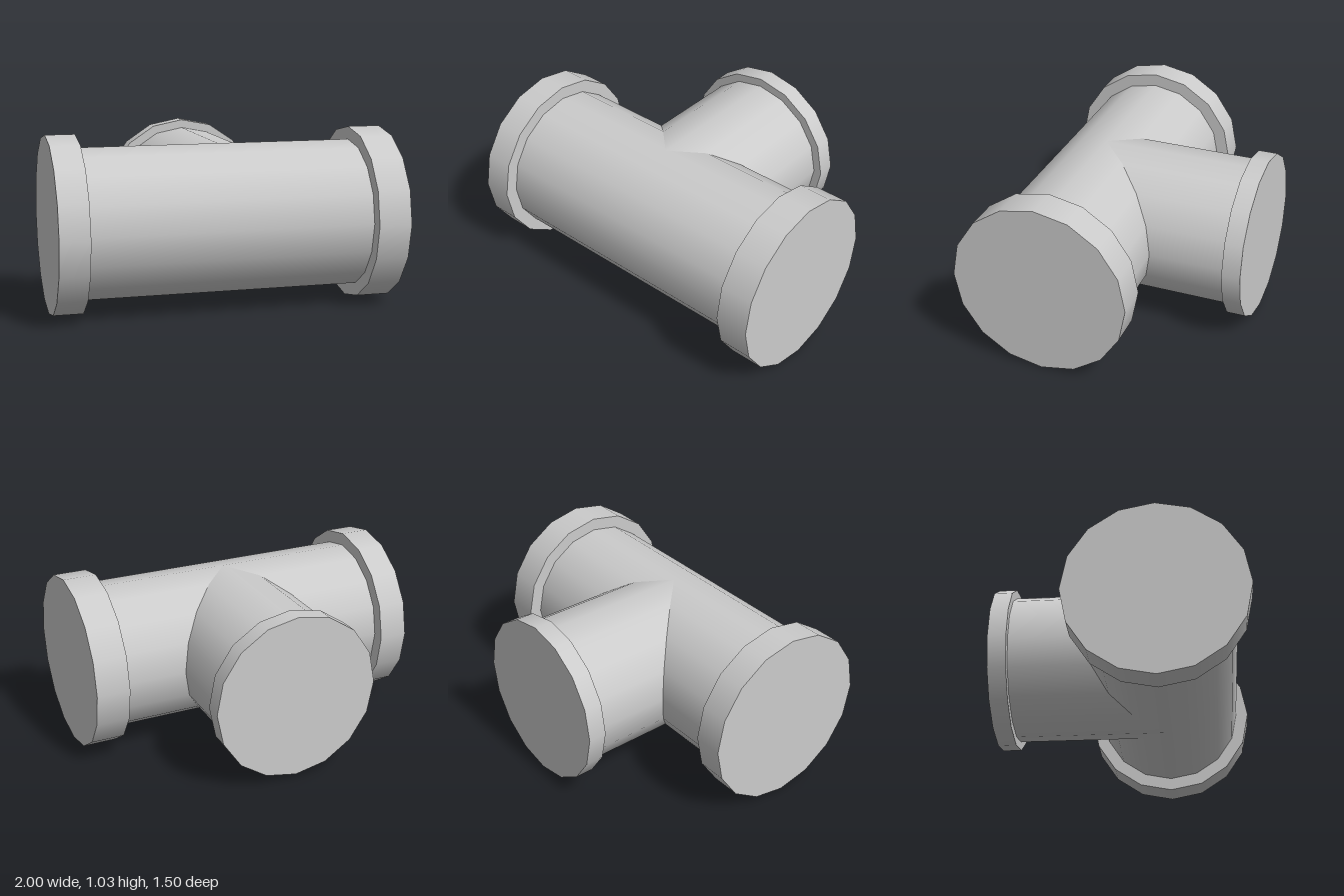
import * as THREE from 'three';

const SIDES = 16;
const CY = 0.513;      // height of both pipe axes
const RUN_Z = 0.238;   // z of the straight run's axis
const PIPE_R = 0.437;

export function createModel() {
  const group = new THREE.Group();
  const material = new THREE.MeshStandardMaterial({ color: 0xcccccc });

  // Cylinder spanning from..to along the x or z axis
  function addTube(name, axis, radius, from, to, open) {
    const geo = new THREE.CylinderGeometry(radius, radius, to - from, SIDES, 1, open);
    const mid = (from + to) / 2;
    if (axis === 'x') geo.rotateZ(-Math.PI / 2).translate(mid, CY, RUN_Z);
    else geo.rotateX(Math.PI / 2).translate(0, CY, mid);
    const mesh = new THREE.Mesh(geo, material);
    mesh.name = name;
    group.add(mesh);
  }

  // Straight run with a closed collar at each end
  addTube('runPipe', 'x', PIPE_R, -0.83, 0.805, true);
  addTube('rightCollar', 'x', 0.513, -1, -0.83, false);
  addTube('leftCollar', 'x', 0.513, 0.805, 1, false);

  // Branch of the same bore, mitred into the run, with its slimmer collar
  addTube('branchPipe', 'z', PIPE_R, -0.645, RUN_Z, true);
  addTube('branchCollar', 'z', 0.488, -0.753, -0.645, false);

  return group;
}
